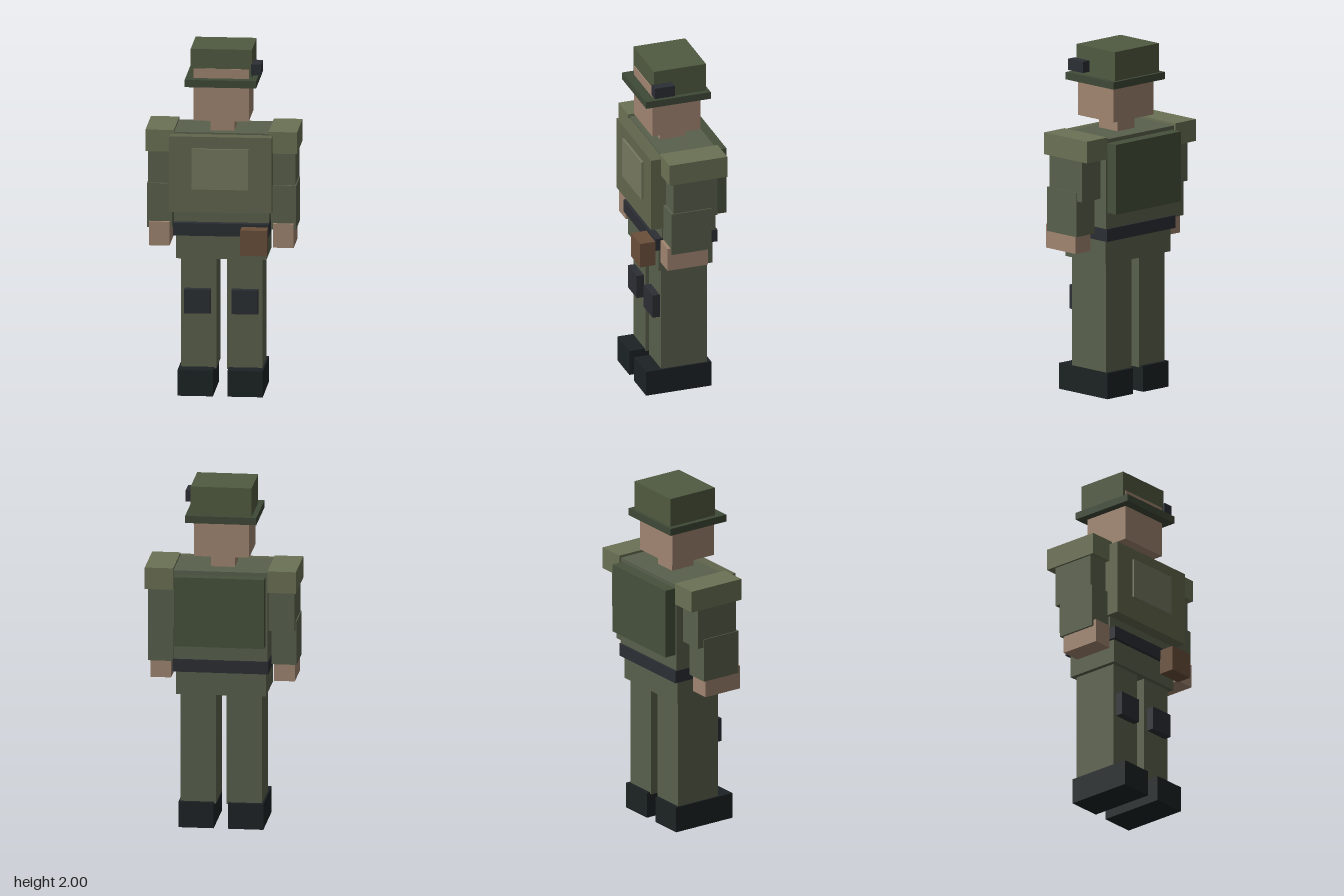
import * as THREE from 'three';

const mat = (color) => new THREE.MeshStandardMaterial({ color, flatShading: true });

export function createModel() {
  const model = new THREE.Group();
  model.name = 'blockSoldier';

  const uniform = mat(0x59604c), vestGreen = mat(0x62664d), padGreen = mat(0x6b7154);
  const hatGreen = mat(0x505a40), brimGreen = mat(0x3f4937), packGreen = mat(0x46503b);
  const skin = mat(0xa08570), dark = mat(0x2b2e33), boot = mat(0x1c2224);
  const leather = mat(0x6a4f3a), plate = mat(0x767860);

  // Box given by its extents along each axis
  const box = (name, material, [x0, x1], [y0, y1], [z0, z1]) => {
    const mesh = new THREE.Mesh(new THREE.BoxGeometry(x1 - x0, y1 - y0, z1 - z0), material);
    mesh.position.set((x0 + x1) / 2, (y0 + y1) / 2, (z0 + z1) / 2);
    mesh.name = name;
    model.add(mesh);
  };

  // The body's mid-plane sits slightly off x = 0
  const MID = -0.002;
  const centred = (name, material, halfWidth, y, z) =>
    box(name, material, [MID - halfWidth, MID + halfWidth], y, z);
  const pair = (name, material, [inner, outer], y, z) => {
    box('left' + name, material, [MID + inner, MID + outer], y, z);
    box('right' + name, material, [MID - outer, MID - inner], y, z);
  };

  // Head and hat
  centred('head', skin, 0.157, [1.585, 1.887], [-0.14, 0.148]);
  centred('neck', skin, 0.068, [1.48, 1.6], [-0.08, 0.07]);
  centred('hatCrown', hatGreen, 0.174, [1.82, 2], [-0.168, 0.143]);
  centred('hatBrim', brimGreen, 0.203, [1.79, 1.832], [-0.187, 0.202]);
  box('hatLamp', dark, [0.168, 0.225], [1.855, 1.92], [0.038, 0.157]);

  // Torso and gear
  centred('torso', uniform, 0.269, [0.98, 1.512], [-0.193, 0.13]);
  centred('vest', vestGreen, 0.291, [1.065, 1.503], [0.1, 0.203]);
  centred('chestPlate', plate, 0.162, [1.2, 1.435], [0.19, 0.216]);
  centred('backpack', packGreen, 0.256, [1.085, 1.49], [-0.262, -0.18]);
  centred('belt', dark, 0.272, [0.92, 0.993], [-0.203, 0.17]);
  box('beltPouch', leather, [0.116, 0.267], [0.83, 0.977], [0.168, 0.262]);
  centred('hips', uniform, 0.257, [0.783, 0.95], [-0.178, 0.148]);

  // Arms
  pair('ShoulderPad', padGreen, [0.269, 0.431], [1.4, 1.526], [-0.205, 0.143]);
  pair('UpperArm', uniform, [0.268, 0.418], [1.163, 1.45], [-0.15, 0.113]);
  pair('Forearm', uniform, [0.281, 0.424], [0.957, 1.212], [-0.113, 0.128]);
  pair('Hand', skin, [0.294, 0.412], [0.855, 0.993], [-0.095, 0.147]);

  // Legs
  pair('Leg', uniform, [0.03, 0.232], [0.14, 0.8], [-0.155, 0.122]);
  pair('KneePad', dark, [0.059, 0.209], [0.468, 0.607], [0.11, 0.165]);
  pair('Boot', boot, [0.041, 0.242], [0, 0.15], [-0.177, 0.216]);

  return model;
}
